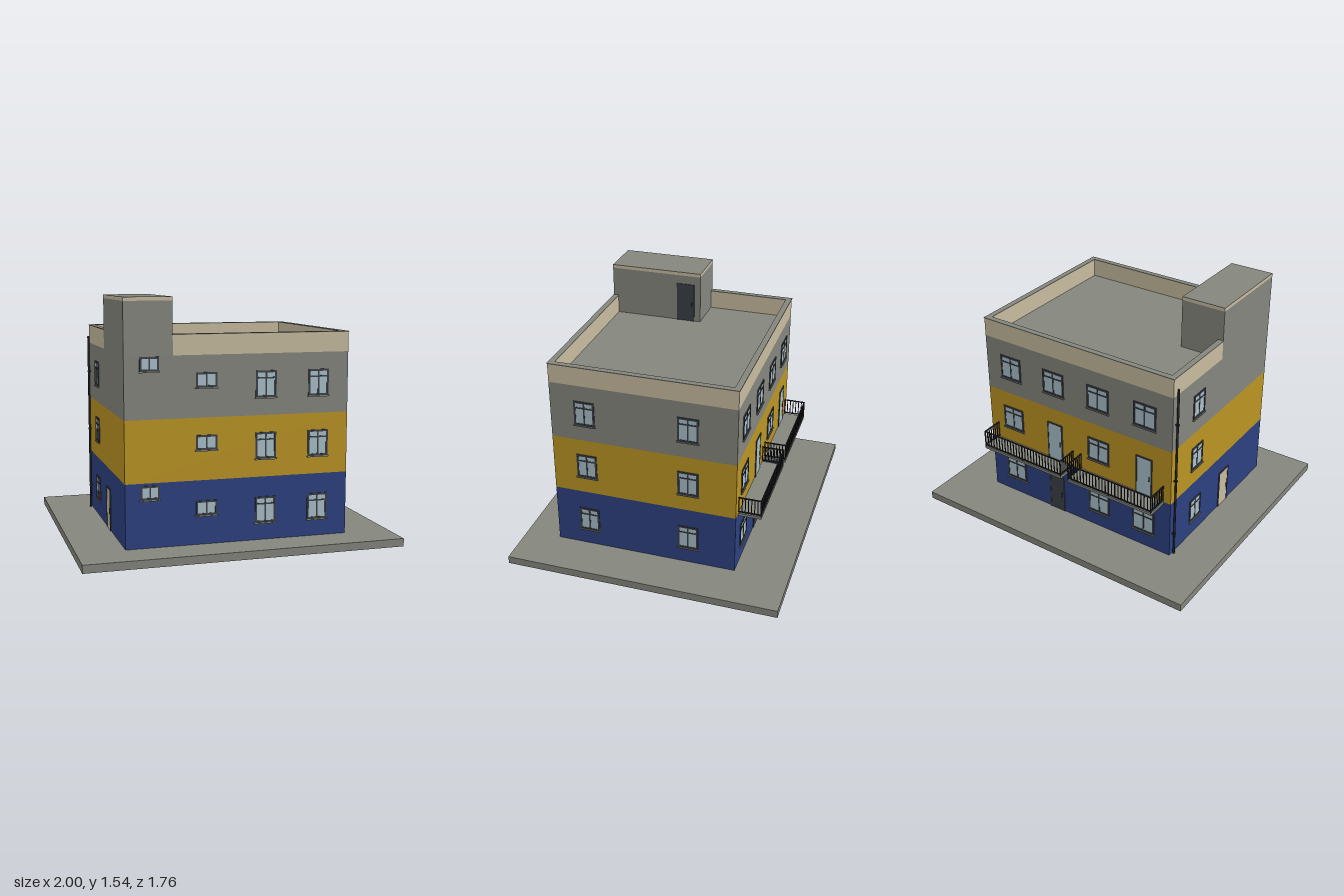
import * as THREE from 'three';

const mat = (name, color, extra) => new THREE.MeshStandardMaterial({ name, color, ...extra });

export function createModel() {
  const blue = mat('blue', 0x2c4080), yellow = mat('yellow', 0xba9422), grey = mat('grey', 0x84857d);
  const beige = mat('beige', 0xc7bb9e), frame = mat('frame grey', 0x3a3f45);
  const glass = mat('glass', 0xa9bfc9), iron = mat('iron', 0x25262a);
  const model = new THREE.Group();
  model.name = 'apartmentBuilding';

  // Box given by its lower and upper limits on each axis
  function box(parent, name, m, x0, x1, y0, y1, z0, z1) {
    const mesh = new THREE.Mesh(new THREE.BoxGeometry(x1 - x0, y1 - y0, z1 - z0), m);
    mesh.position.set((x0 + x1) / 2, (y0 + y1) / 2, (z0 + z1) / 2);
    mesh.name = name;
    parent.add(mesh);
    return mesh;
  }

  const X = 0.705, ZF = 0.65, ZB = -0.535, ROOF = 1.2, TOP = 1.325, T = 0.032;
  const TX = -0.41, TZ = 0.03; // inner corner of the stair tower

  // Ground slab and the three coloured storeys
  box(model, 'groundSlab', grey, -1, 1, 0, 0.05, -0.88, 0.88);
  box(model, 'groundFloor', blue, -X, X, 0.05, 0.445, ZB, ZF);
  box(model, 'middleFloor', yellow, -X, X, 0.445, 0.825, ZB, ZF);
  box(model, 'upperFloor', grey, -X, X, 0.825, ROOF, ZB, ZF);

  // Parapet with a thin coping, open where the tower stands
  const runs = [
    [-X, X, ZB, ZB + T],
    [X - T, X, ZB + T, ZF],
    [TX, X - T, ZF - T, ZF],
    [-X, -X + T, ZB + T, TZ],
  ];
  for (const [x0, x1, z0, z1] of runs) {
    box(model, 'parapet', beige, x0, x1, ROOF, TOP - 0.005, z0, z1);
    box(model, 'coping', grey, x0 - 0.003, x1 + 0.003, TOP - 0.005, TOP, z0 - 0.003, z1 + 0.003);
  }

  // Stair tower with a pale fascia under its flat roof
  box(model, 'stairTower', grey, -X, TX, ROOF, 1.52, TZ, ZF);
  box(model, 'towerFascia', beige, -X, TX, 1.52, 1.54, TZ, ZF);
  box(model, 'towerRoof', grey, -X, TX, 1.54, 1.543, TZ, ZF);

  // Openings are made facing +z, then turned onto their wall
  const walls = {
    front: (u) => [u, ZF, 0],
    back: (u) => [u, ZB, Math.PI],
    right: (u) => [X, u, Math.PI / 2],
    left: (u) => [-X, u, -Math.PI / 2],
    tower: (u) => [TX, u, Math.PI / 2],
  };
  function opening(name, wall, u, y) {
    const [x, z, turn] = walls[wall](u);
    const g = new THREE.Group();
    g.name = name;
    g.position.set(x, y, z);
    g.rotation.y = turn;
    model.add(g);
    return g;
  }
  function surround(g, w, h, t, bottom) {
    for (const s of [-1, 1]) {
      const c = s * (w / 2 - t / 2);
      box(g, 'jamb', frame, c - t / 2, c + t / 2, 0, h, 0, 0.006);
    }
    box(g, 'head', frame, -w / 2 + t, w / 2 - t, h - t, h, 0, 0.006);
    if (bottom) box(g, 'bottomRail', frame, -w / 2 + t, w / 2 - t, 0, t, 0, 0.006);
  }
  function makeWindow(wall, u, y, w, h, transom) {
    const g = opening('window', wall, u, y);
    box(g, 'pane', glass, -w / 2 + 0.005, w / 2 - 0.005, 0.005, h - 0.005, 0, 0.003);
    surround(g, w, h, 0.012, true);
    box(g, 'mullion', frame, -0.005, 0.005, 0.012, h - 0.012, 0, 0.005);
    if (transom) box(g, 'transom', frame, -w / 2 + 0.012, w / 2 - 0.012, h * 0.7, h * 0.7 + 0.009, 0, 0.0055);
    box(g, 'sill', grey, -w / 2 - 0.005, w / 2 + 0.005, -0.008, 0, 0, 0.011);
  }
  function makeDoor(wall, u, y, w, h, leaf) {
    const g = opening('door', wall, u, y);
    box(g, 'leaf', leaf, -w / 2 + 0.004, w / 2 - 0.004, 0, h - 0.004, 0, 0.004);
    surround(g, w, h, 0.009, false);
    box(g, 'handle', iron, w / 2 - 0.022, w / 2 - 0.016, h * 0.4, h * 0.52, 0, 0.009);
  }

  // Windows repeated on every floor
  const floors = [0.158, 0.558, 0.934];
  floors.forEach((y, floor) => {
    for (const u of [0.17, 0.51]) makeWindow('front', u, y, 0.132, 0.162, true);
    makeWindow('front', -0.205, y + 0.072, 0.132, 0.09, false);
    for (const u of [0.428, -0.23]) makeWindow('right', u, y, 0.132, 0.162, true);
    makeWindow('left', -0.235, y, 0.132, 0.162, true);
    [0.51, 0.17, -0.17, -0.51].forEach((u, i) => {
      const isDoor = (floor === 0 && i === 1) || (floor === 1 && (i === 1 || i === 3));
      if (!isDoor) makeWindow('back', u, y, 0.16, 0.162, true);
    });
  });
  // Stair landing windows
  for (const y of [0.345, 1.11]) makeWindow('front', -0.553, y, 0.118, 0.085, false);

  // Doors
  makeDoor('back', 0.17, 0.05, 0.118, 0.27, frame);
  makeDoor('back', 0.17, 0.45, 0.118, 0.27, glass);
  makeDoor('back', -0.51, 0.45, 0.118, 0.27, glass);
  makeDoor('left', 0.135, 0.05, 0.12, 0.27, beige);
  makeDoor('tower', 0.133, ROOF, 0.122, 0.262, frame);

  // Balconies with barred railings
  for (const [x0, x1] of [[-0.655, -0.03], [0.025, 0.65]]) {
    const g = new THREE.Group();
    g.name = 'balcony';
    model.add(g);
    const zo = -0.68, r = 0.007;
    box(g, 'balconySlab', grey, x0, x1, 0.432, 0.45, zo, ZB);
    for (const y of [0.458, 0.559]) {
      box(g, 'frontRail', iron, x0, x1, y, y + r, zo, zo + r);
      for (const x of [x0, x1 - r]) box(g, 'sideRail', iron, x, x + r, y, y + r, zo + r, ZB);
    }
    const bar = (x, z, s, y0) => box(g, 'bar', iron, x - s, x + s, y0, 0.562, z - s, z + s);
    const n = 26, m = 7, h = r / 2;
    for (let i = 0; i <= n; i++) {
      const post = i % 13 === 0;
      bar(x0 + h + ((x1 - x0 - r) * i) / n, zo + h, post ? 0.0035 : 0.0025, post ? 0.45 : 0.46);
    }
    for (let i = 1; i <= m; i++) {
      for (const x of [x0 + h, x1 - h]) bar(x, zo + h + ((ZB - zo - r) * i) / m, 0.0025, 0.46);
    }
  }

  // Rainwater pipe near the back corner
  const pipe = new THREE.Mesh(new THREE.CylinderGeometry(0.007, 0.007, 1.195, 10), iron);
  pipe.position.set(-0.717, 0.6475, -0.5);
  pipe.name = 'downpipe';
  model.add(pipe);
  for (const y of [0.2, 0.6, 1.0]) box(model, 'pipeBracket', iron, -0.726, -X, y, y + 0.01, -0.508, -0.492);

  return model;
}
